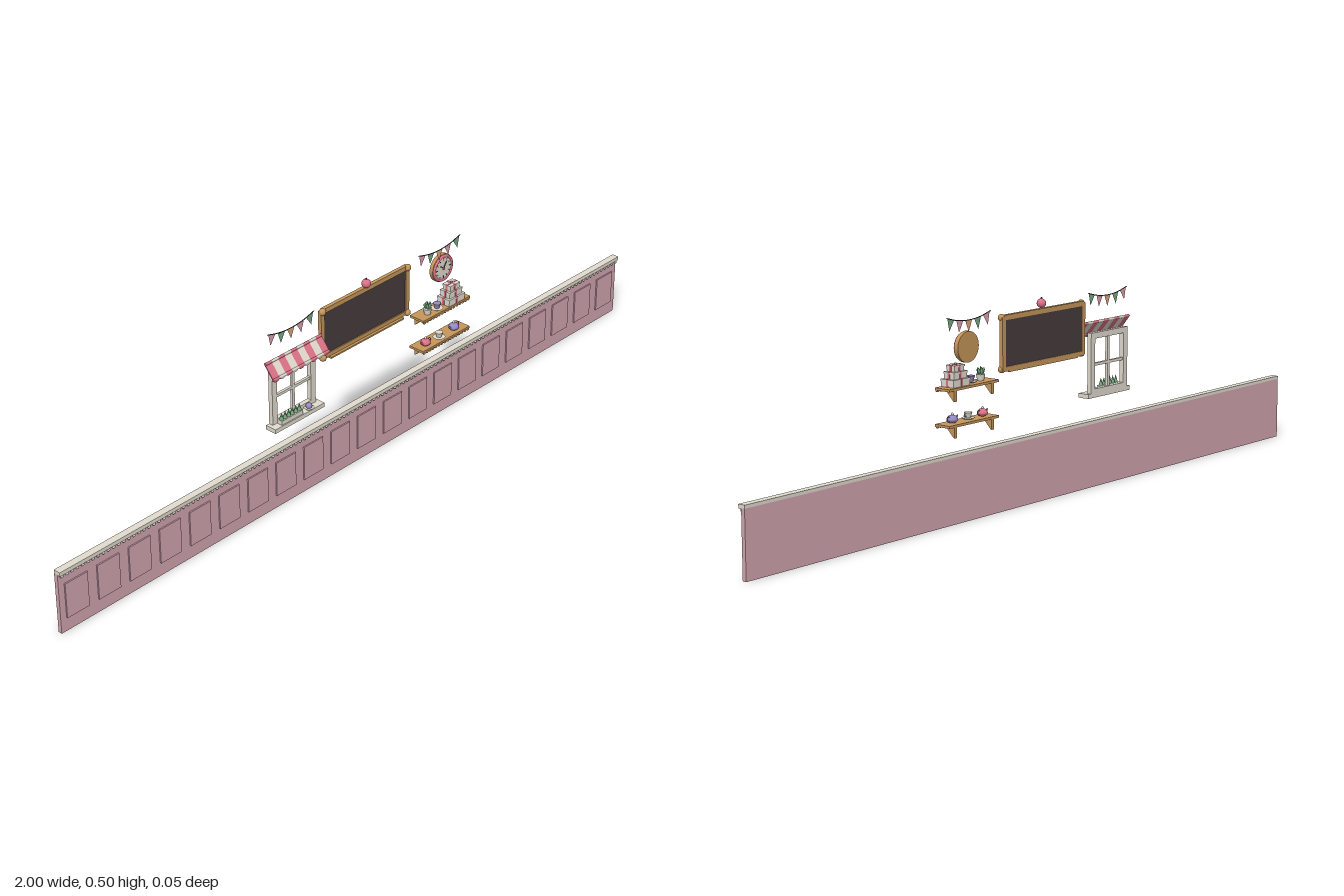
import * as THREE from 'three';
import { mergeGeometries } from 'three/addons/utils/BufferGeometryUtils.js';

const mat = (name, color, side = THREE.FrontSide) => {
  const m = new THREE.MeshStandardMaterial({ color, side });
  m.name = name;
  return m;
};

export function createModel() {
  const M = {
    rose: mat('dusty rose', 0xd3a5af),
    cream: mat('cream', 0xe2dccf),
    wood: mat('wood', 0xc6965a),
    dark: mat('slate', 0x463b3d),
    pink: mat('pink', 0xdd7288),
    green: mat('sage green', 0x78ac82, THREE.DoubleSide),
    lilac: mat('lilac', 0x968bc4),
    peach: mat('peach', 0xe0a87c, THREE.DoubleSide),
    blush: mat('blush', 0xe3a3ae, THREE.DoubleSide),
  };
  const root = new THREE.Group();
  root.name = 'shopWall';
  const group = (name) => {
    const g = new THREE.Group();
    g.name = name;
    root.add(g);
    return g;
  };
  const add = (g, name, geo, m, x = 0, y = 0, z = 0) => {
    const o = new THREE.Mesh(geo, m);
    o.name = name;
    o.position.set(x, y, z);
    g.add(o);
    return o;
  };
  // box given by its limits
  const block = (g, name, m, x0, x1, y0, y1, z0, z1) =>
    add(g, name, new THREE.BoxGeometry(x1 - x0, y1 - y0, z1 - z0), m,
      (x0 + x1) / 2, (y0 + y1) / 2, (z0 + z1) / 2);
  const ball = (g, name, m, r, x, y, z) => add(g, name, new THREE.SphereGeometry(r, 14, 10), m, x, y, z);
  // evenly spaced row of small beads
  const beads = (g, name, m, n, x0, x1, y, z, r) => {
    const list = [];
    for (let i = 0; i < n; i++)
      list.push(new THREE.SphereGeometry(r, 8, 6).translate(x0 + (x1 - x0) * (i + 0.5) / n, y, z));
    add(g, name, mergeGeometries(list), m);
  };

  // Panelled lower wall with cap and bead trim
  const wall = group('wainscot');
  block(wall, 'wallBoard', M.rose, -1, 1, 0, 0.16, -0.024, -0.0135);
  for (let i = -10; i <= 10; i++) {
    const x = i * 0.095;
    block(wall, 'raisedPanel', M.rose, x - 0.033, x + 0.033, 0.035, 0.127, -0.014, -0.01);
  }
  block(wall, 'cap', M.cream, -1, 1, 0.158, 0.168, -0.024, -0.005);
  beads(wall, 'beadTrim', M.cream, 130, -1, 1, 0.154, -0.009, 0.0045);

  // Menu board with knobs, chalk tray and top ornament
  const board = group('menuBoard');
  block(board, 'slate', M.dark, -0.148, 0.148, 0.345, 0.462, -0.021, -0.016);
  for (const s of [-1, 1]) {
    block(board, 'frameSide', M.wood, s * 0.15 - 0.006, s * 0.15 + 0.006, 0.34, 0.468, -0.023, -0.013);
    for (const y of [0.342, 0.466]) ball(board, 'cornerKnob', M.wood, 0.009, s * 0.15, y, -0.0145);
  }
  block(board, 'frameTop', M.wood, -0.15, 0.15, 0.46, 0.472, -0.023, -0.013);
  block(board, 'frameBottom', M.wood, -0.15, 0.15, 0.337, 0.348, -0.023, -0.013);
  block(board, 'chalkTray', M.wood, -0.13, 0.13, 0.334, 0.338, -0.022, -0.006);
  ball(board, 'topOrnament', M.pink, 0.0115, 0, 0.483, -0.0125);
  add(board, 'ornamentStem', new THREE.CylinderGeometry(0.002, 0.002, 0.005, 8), M.dark, 0, 0.4945, -0.0125);

  // Window frame, glazing bars and sill
  const win = group('window');
  for (const x of [-0.318, -0.188])
    block(win, 'jamb', M.cream, x - 0.008, x + 0.008, 0.235, 0.388, -0.023, -0.011);
  block(win, 'head', M.cream, -0.326, -0.18, 0.373, 0.388, -0.023, -0.011);
  block(win, 'bottomRail', M.cream, -0.326, -0.18, 0.235, 0.247, -0.023, -0.011);
  block(win, 'verticalBar', M.cream, -0.257, -0.249, 0.24, 0.38, -0.02, -0.013);
  block(win, 'crossBar', M.cream, -0.315, -0.19, 0.304, 0.311, -0.02, -0.013);
  block(win, 'sill', M.cream, -0.337, -0.17, 0.225, 0.236, -0.023, 0.008);

  // Planter and small pot on the sill
  block(win, 'planter', M.cream, -0.312, -0.24, 0.236, 0.247, -0.009, 0.005);
  for (let i = 0; i < 6; i++)
    add(win, 'sprout', new THREE.ConeGeometry(0.006, 0.02, 7), M.green, -0.306 + i * 0.012, 0.256, -0.002);
  ball(win, 'lilacPot', M.lilac, 0.008, -0.213, 0.243, -0.002);
  add(win, 'saucer', new THREE.CylinderGeometry(0.013, 0.01, 0.003, 16), M.cream, -0.213, 0.2375, -0.002);

  // Striped sloping awning with rolled edges
  const awning = group('awning');
  const stripes = 9, sw = 0.188 / stripes;
  for (let i = 0; i < stripes; i++) {
    const x = -0.349 + (i + 0.5) * sw;
    const m = i % 2 ? M.cream : M.pink;
    add(awning, 'stripe', new THREE.BoxGeometry(sw, 0.041, 0.003), m, x, 0.394, 0.003).rotation.x = -0.682;
    for (const [y, z] of [[0.411, -0.009], [0.378, 0.016]])
      add(awning, 'rolledEdge', new THREE.CylinderGeometry(0.0036, 0.0036, sw, 10).rotateZ(Math.PI / 2), m, x, y, z);
    add(awning, 'scallop', new THREE.CylinderGeometry(sw / 2, sw / 2, 0.002, 14, 1, false, -Math.PI / 2, Math.PI)
      .rotateX(Math.PI / 2), m, x, 0.378, 0.016).scale.y = 0.7;
  }

  // Bunting: sagging string with five pennants
  const pennants = [M.blush, M.green, M.peach, M.blush, M.green];
  for (const cx of [-0.263, 0.26]) {
    const g = group('bunting');
    const sag = (t) => new THREE.Vector3(cx + t * 0.078, 0.473 + 0.013 * t * t, -0.008);
    const curve = new THREE.CatmullRomCurve3([-1, -0.5, 0, 0.5, 1].map(sag));
    add(g, 'string', new THREE.TubeGeometry(curve, 20, 0.0012, 5), M.dark);
    pennants.forEach((m, i) => {
      const p = sag((i - 2) * 0.4);
      const s = new THREE.Shape([
        new THREE.Vector2(-0.012, 0), new THREE.Vector2(0, -0.028), new THREE.Vector2(0.012, 0)]);
      add(g, 'pennant', new THREE.ShapeGeometry(s), m, p.x, p.y, p.z).rotation.z = (i - 2) * 0.1;
    });
  }

  // Wall clock
  const clock = group('clock');
  const disc = (name, r, d, m, z) =>
    add(clock, name, new THREE.CylinderGeometry(r, r, d, 32).rotateX(Math.PI / 2), m, 0, 0, z);
  clock.position.set(0.28, 0.414, 0);
  disc('clockCase', 0.037, 0.01, M.wood, -0.019);
  disc('clockFace', 0.03, 0.003, M.cream, -0.0125);
  add(clock, 'clockRim', new THREE.TorusGeometry(0.032, 0.004, 8, 36), M.pink, 0, 0, -0.0125);
  for (let i = 0; i < 12; i++) {
    const a = i * Math.PI / 6;
    add(clock, 'hourMark', new THREE.BoxGeometry(0.002, i % 3 ? 0.003 : 0.006, 0.001), M.dark,
      Math.sin(a) * 0.024, Math.cos(a) * 0.024, -0.0106).rotation.z = -a;
  }
  for (const [a, l] of [[-0.9, 0.014], [0.6, 0.021]])
    add(clock, 'hand', new THREE.BoxGeometry(0.003, l, 0.001).translate(0, l / 2, 0), M.dark, 0, 0, -0.01).rotation.z = -a;
  disc('hub', 0.004, 0.002, M.pink, -0.0095);

  // Two bracketed shelves with bead trim
  const profile = new THREE.Shape([
    new THREE.Vector2(-0.021, 0), new THREE.Vector2(-0.021, -0.026),
    new THREE.Vector2(-0.017, -0.024), new THREE.Vector2(0.006, 0)]);
  for (const y of [0.316, 0.23]) {
    const g = group('shelf');
    block(g, 'shelfBoard', M.wood, 0.17, 0.346, y, y + 0.006, -0.023, 0.022);
    for (const x of [0.195, 0.327])
      add(g, 'bracket', new THREE.ExtrudeGeometry(profile, { depth: 0.009, bevelEnabled: false })
        .rotateY(-Math.PI / 2), M.wood, x, y);
    beads(g, 'beadTrim', M.wood, 16, 0.17, 0.346, y - 0.001, 0.0195, 0.0042);
  }

  // Stack of ribboned boxes
  const gifts = group('giftBoxes');
  for (const [w, d, y0, y1] of [[0.058, 0.038, 0.322, 0.34], [0.046, 0.03, 0.34, 0.357], [0.034, 0.024, 0.357, 0.372]]) {
    const x = 0.296, z = 0.002;
    block(gifts, 'box', M.cream, x - w / 2, x + w / 2, y0, y1 - 0.004, z - d / 2, z + d / 2);
    block(gifts, 'lid', M.cream, x - w / 2 - 0.001, x + w / 2 + 0.001, y1 - 0.005, y1, z - d / 2 - 0.001, z + d / 2 + 0.001);
    block(gifts, 'ribbon', M.pink, x - 0.003, x + 0.003, y0, y1 + 0.0005, z - d / 2 - 0.0015, z + d / 2 + 0.0015);
    block(gifts, 'ribbon', M.pink, x - w / 2 - 0.0015, x + w / 2 + 0.0015, y0, y1 + 0.0005, z - 0.003, z + 0.003);
  }
  ball(gifts, 'bow', M.pink, 0.003, 0.296, 0.374, 0.002);

  // Teapot and cup helpers
  const potProfile = [[0, 0], [0.6, 0], [0.95, 0.35], [1, 0.65], [0.75, 1.1], [0.45, 1.3], [0, 1.36]];
  const teapot = (name, m, lid, x, y, r) => {
    const g = group(name);
    g.position.set(x, y, 0.003);
    add(g, 'body', new THREE.LatheGeometry(potProfile.map(p => new THREE.Vector2(p[0] * r, p[1] * r)), 20), m);
    ball(g, 'lidKnob', lid, r * 0.25, 0, r * 1.5, 0);
    add(g, 'handle', new THREE.TorusGeometry(r * 0.42, r * 0.1, 6, 16), m, r, r * 0.7, 0);
    add(g, 'spout', new THREE.CylinderGeometry(r * 0.12, r * 0.22, r * 0.9, 8), m, -r * 1.1, r * 0.8, 0).rotation.z = 0.7;
  };
  const cup = (name, m, x, y) => {
    const g = group(name);
    g.position.set(x, y, 0.004);
    add(g, 'saucer', new THREE.CylinderGeometry(0.016, 0.011, 0.003, 20), M.cream, 0, 0.0015);
    add(g, 'bowl', new THREE.CylinderGeometry(0.01, 0.006, 0.013, 16), m, 0, 0.0095);
    add(g, 'handle', new THREE.TorusGeometry(0.004, 0.0012, 6, 12), m, 0.01, 0.01);
  };
  teapot('pinkTeapot', M.pink, M.cream, 0.2, 0.236, 0.013);
  cup('creamCup', M.cream, 0.25, 0.236);
  teapot('lilacTeapot', M.lilac, M.cream, 0.307, 0.236, 0.0135);

  // Potted sprig and cup on the upper shelf
  const plant = group('pottedSprig');
  plant.position.set(0.206, 0.322, 0.003);
  add(plant, 'pot', new THREE.CylinderGeometry(0.011, 0.008, 0.015, 16), M.cream, 0, 0.0075);
  for (let i = 0; i < 5; i++) {
    const a = i * Math.PI * 0.4;
    const leaf = add(plant, 'leaf', new THREE.SphereGeometry(0.006, 8, 6), M.green,
      Math.cos(a) * 0.006, 0.022, Math.sin(a) * 0.006);
    leaf.scale.set(0.6, 1.5, 0.6);
    leaf.rotation.z = -Math.cos(a) * 0.5;
  }
  add(plant, 'stem', new THREE.ConeGeometry(0.004, 0.02, 8), M.green, 0, 0.026);
  cup('lilacCup', M.lilac, 0.24, 0.322);

  return root;
}
